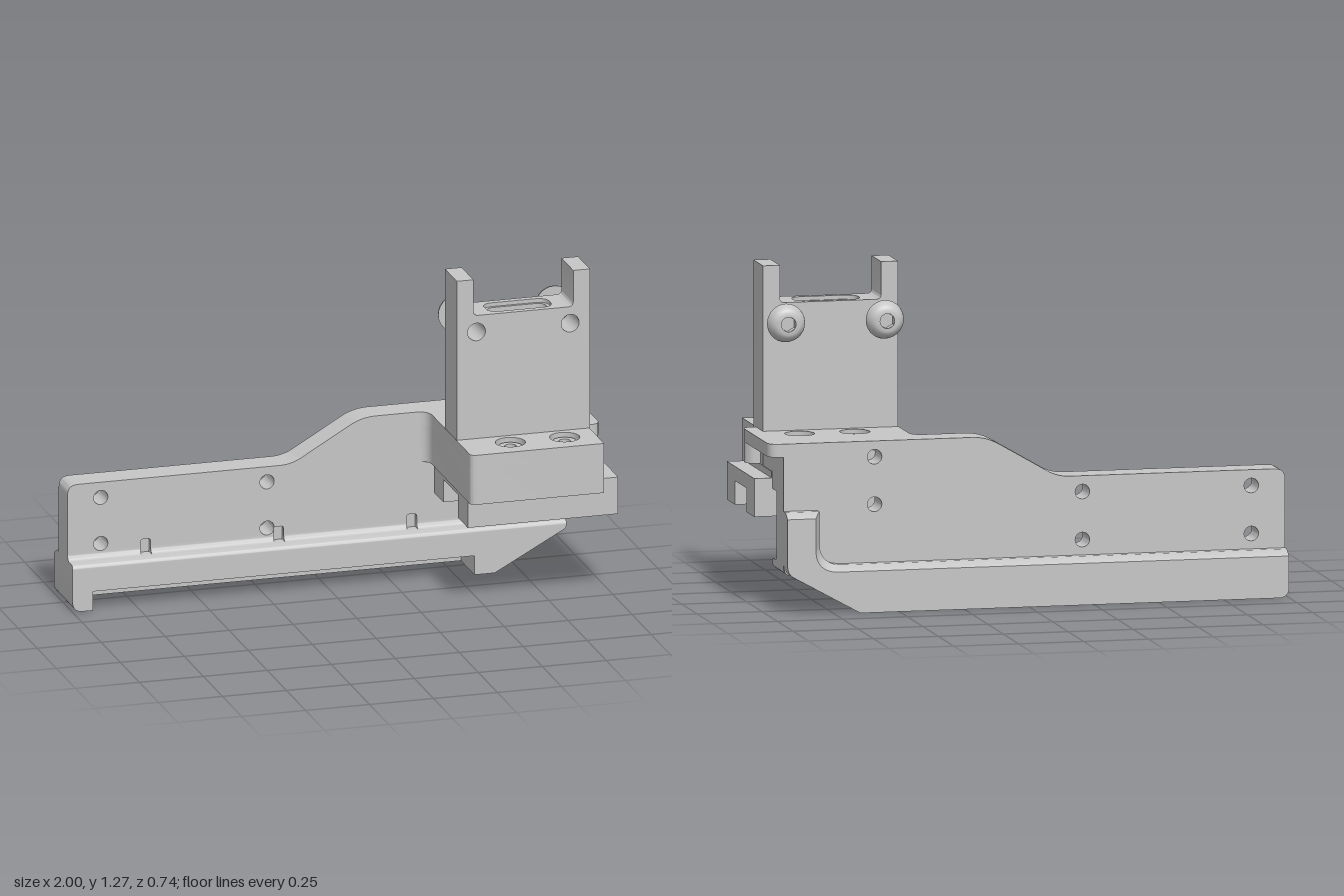
import * as THREE from 'three';
import { toCreasedNormals } from 'three/addons/utils/BufferGeometryUtils.js';

const metal = new THREE.MeshStandardMaterial({ color: 0xc6c6c6 });
metal.name = 'machined grey';

// Closed outline from [x, y, cornerRadius] points
function outline(pts, holes = []) {
  const s = new THREE.Shape(), n = pts.length;
  pts.forEach(([x, y, r = 0], i) => {
    const p = new THREE.Vector2(x, y);
    const toward = (q) => new THREE.Vector2(q[0], q[1]).sub(p).setLength(r).add(p);
    const a = toward(pts[(i + n - 1) % n]), b = toward(pts[(i + 1) % n]);
    if (i === 0) s.moveTo(a.x, a.y); else s.lineTo(a.x, a.y);
    if (r) s.quadraticCurveTo(x, y, b.x, b.y);
  });
  s.closePath();
  s.holes.push(...holes);
  return s;
}
const rect = (x0, y0, x1, y1, r = 0) => outline([[x0, y0, r], [x1, y0, r], [x1, y1, r], [x0, y1, r]]);
const circle = (x, y, r) => new THREE.Path().absarc(x, y, r, 0, Math.PI * 2, true);

function extrude(shape, depth, steps = 1) {
  return new THREE.ExtrudeGeometry(shape, { depth, steps, bevelEnabled: false, curveSegments: 10 });
}
// Extrusions along each axis: alongY shapes use (x, -z), alongX shapes use (-z, y)
const alongZ = (s, z0, z1, steps) => extrude(s, z1 - z0, steps).translate(0, 0, z0);
const alongY = (s, y0, y1) => extrude(s, y1 - y0).rotateX(-Math.PI / 2).translate(0, y0, 0);
const alongX = (s, x0, x1) => extrude(s, x1 - x0).rotateY(Math.PI / 2).translate(x0, 0, 0);

const lathe = (pts, seg = 28) => new THREE.LatheGeometry(pts.map((p) => new THREE.Vector2(...p)), seg);

export function createModel() {
  const model = new THREE.Group();
  model.name = 'mountBracket';
  const add = (name, geo, parent = model) => {
    const m = new THREE.Mesh(toCreasedNormals(geo, 0.6), metal);
    m.name = name;
    parent.add(m);
    return m;
  };

  // Upright wall in two layers; the front layer has the drilled notches
  const wall = (extra) => outline(
    [[-1, 0.16], [0.93, 0.16], [0.93, 0.64], [0.15, 0.64, 0.055], [-0.125, 0.48, 0.045], [-1, 0.48, 0.04]],
    [[-0.87, 0.42], [-0.87, 0.238], [-0.22, 0.42], [-0.22, 0.238], [0.58, 0.58], [0.58, 0.4]]
      .map(([x, y]) => circle(x, y, 0.028)).concat(extra));
  const notchX = [-0.695, -0.175, 0.345];
  add('wallBack', alongZ(wall([]), -0.305, -0.215));
  add('wallFront', alongZ(wall(notchX.map((x) => rect(x - 0.02, 0.175, x + 0.02, 0.24, 0.012))), -0.215, -0.19));

  // Back strip of the rail, rising to a lip at the left end, with a chamfered top edge
  const strip = alongZ(outline([[-1, 0, 0.04], [0.65, 0], [0.93, 0.155, 0.03], [0.93, 0.385],
    [0.8, 0.385], [0.8, 0.18, 0.09], [-1, 0.18]]), -0.37, -0.3, 2);
  const p = strip.attributes.position;
  for (let i = 0; i < p.count; i++) {
    const x = p.getX(i), y = p.getY(i);
    if (p.getZ(i) < -0.36 && y > 0.175 && (x < 0.9 || y > 0.3)) {
      p.setY(i, y - 0.022);
      if (x > 0.72 && x < 0.9) p.setX(i, x + 0.022);
    }
  }
  strip.computeVertexNormals();
  add('railBackStrip', strip);

  // Rail feet at both ends and the raised web between them
  add('railFootRight', alongZ(outline([[-1, 0, 0.04], [-0.92, 0], [-0.92, 0.165], [-1, 0.165]]), -0.32, -0.123));
  add('railFootLeft', alongZ(outline([[0.57, 0], [0.65, 0], [0.93, 0.152, 0.012], [0.93, 0.165], [0.57, 0.165]]),
    -0.32, -0.123));
  add('railWeb', alongY(outline([[-0.92, 0.123], [0.57, 0.123], [0.57, 0.32], [-0.92, 0.32]],
    notchX.map((x) => circle(x, 0.19, 0.025))), 0.075, 0.165));
  // Rounded shoulder on top of the rail
  add('railShoulder', alongX(outline([[0.123, 0.163], [0.21, 0.163], [0.21, 0.183], [0.123, 0.183, 0.016]]), -1, 0.93));
  // Fillet into the wall, interrupted at the notches
  const breaks = [-1, ...notchX.flatMap((x) => [x - 0.02, x + 0.02]), 0.93];
  for (let i = 0; i < breaks.length; i += 2) {
    add('railFillet', alongX(outline([[0.163, 0.182], [0.2, 0.182], [0.2, 0.21], [0.19, 0.21],
      [0.19, 0.183, 0.025]]), breaks[i], breaks[i + 1]));
  }

  // Head block: flange with screw pockets, and the body below it
  const screws = [[0.598, -0.06], [0.81, -0.06], [0.598, 0.255], [0.81, 0.255]];
  add('flange', alongY(outline([[0.35, 0.19], [0.41, 0.19, 0.055], [0.41, -0.37, 0.025], [0.93, -0.37],
    [0.93, -0.14], [0.985, -0.14, 0.04], [0.985, 0.305, 0.045], [0.93, 0.305], [0.93, 0.19]],
  screws.map(([x, z]) => circle(x, -z, 0.057))), 0.59, 0.64));
  add('headBody', alongY(outline([[0.35, 0.2], [0.35, 0.19], [0.41, 0.19, 0.055], [0.41, -0.37, 0.025],
    [0.93, -0.37], [0.93, 0.2]]), 0.445, 0.59));
  add('stopLug', new THREE.CylinderGeometry(0.04, 0.04, 0.08, 24).translate(0.945, 0.553, 0.1));
  for (const [x, z] of screws) {
    add('recessedScrew', lathe([[0.05, 0], [0.05, 0.03], [0.045, 0.035], [0.022, 0.035], [0.022, 0.01], [0, 0.01]]))
      .position.set(x, 0.59, z);
  }

  // Channel bar below the head
  add('channelBar', alongX(outline([[0.123, 0.34], [0.123, 0.485], [-0.32, 0.485], [-0.32, 0.34],
    [-0.19, 0.34], [-0.19, 0.43], [0, 0.43], [0, 0.34]]), 0.412, 1));
  add('channelTongue', new THREE.BoxGeometry(0.52, 0.03, 0.443).translate(0.673, 0.495, 0.099));

  // Column: mirrored pronged sides with cross holes, slotted middle
  const column = new THREE.Group();
  column.name = 'column';
  column.position.set(0.672, 0, 0.0995);
  model.add(column);
  const side = outline([[0.13, 0.51], [0.26, 0.51], [0.26, 1.267], [0.195, 1.267],
    [0.195, 1.125, 0.02], [0.13, 1.125]], [circle(0.183, 1.06, 0.035)]);
  for (const s of [-1, 1]) {
    add('columnSide', alongZ(side, -0.0775, 0.0775).rotateY(s < 0 ? Math.PI : 0), column);

    // Button-head screw behind each hole
    const screw = new THREE.Group();
    screw.name = 'buttonScrew';
    screw.position.set(0.19 * s, 1.06, -0.0695);
    screw.rotation.x = -Math.PI / 2;
    column.add(screw);
    add('screwShaft', lathe([[0, 0], [0.038, 0], [0.038, 0.09]]), screw);
    add('screwHead', lathe([[0.03, 0.087], [0.073, 0.087], [0.07, 0.1], [0.062, 0.115],
      [0.052, 0.126], [0.042, 0.131], [0.028, 0.131]]), screw);
    add('hexSocket', lathe([[0.031, 0.131], [0.031, 0.1], [0, 0.1]], 6), screw);
  }
  add('columnCore', new THREE.BoxGeometry(0.26, 0.29, 0.155).translate(0, 0.655, 0), column);
  const middle = (hole) => {
    const s = rect(-0.13, -0.0775, 0.13, 0.0775);
    s.holes.push(hole);
    return s;
  };
  add('columnMiddle', alongY(middle(rect(-0.115, -0.04, 0.115, 0.04, 0.035)), 0.8, 1.11), column);
  // Wider step at the mouth of the slot
  add('columnMouth', alongY(middle(rect(-0.127, -0.052, 0.127, 0.052, 0.045)), 1.11, 1.125), column);

  return model;
}
